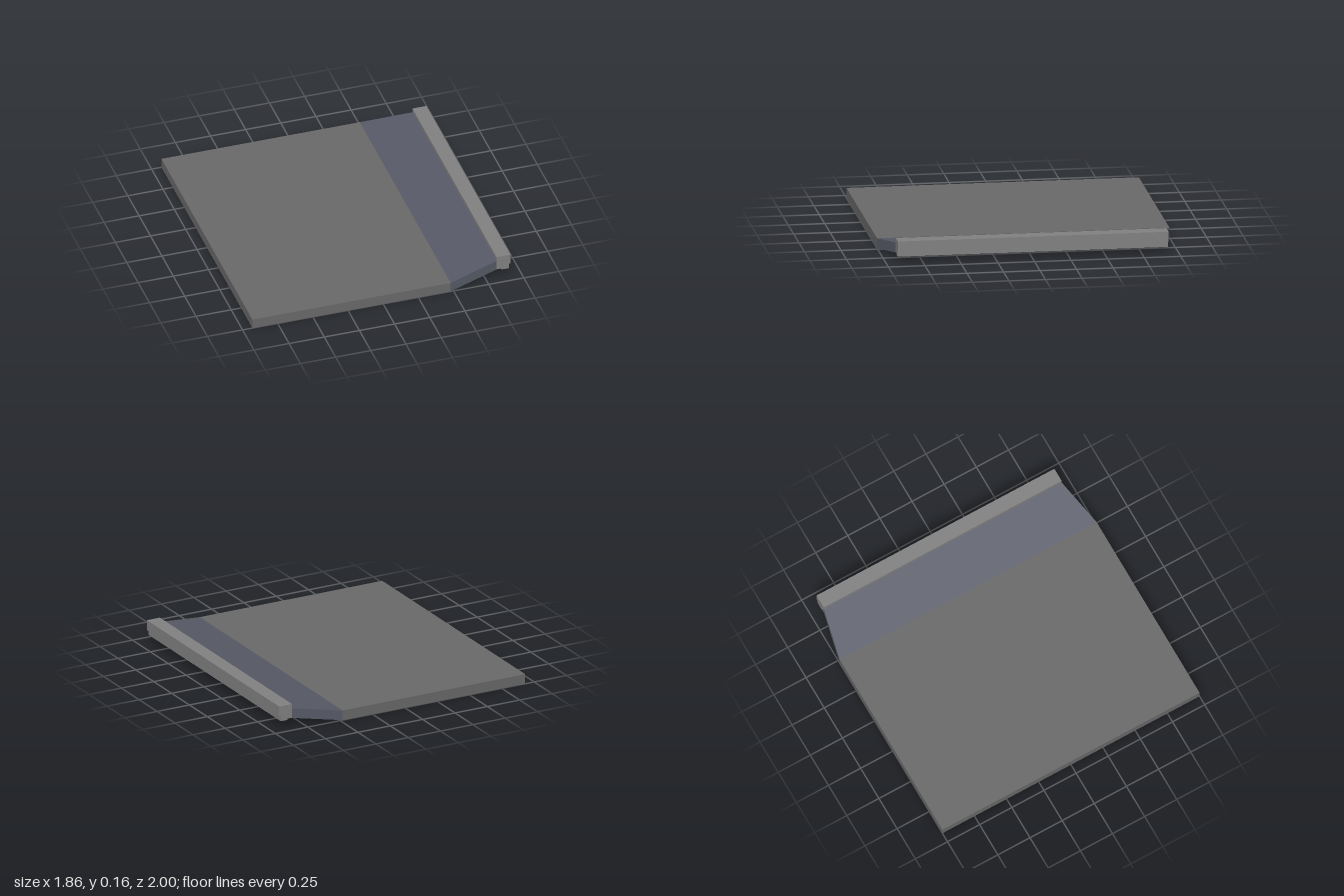
import * as THREE from 'three';

const paint = (color) => new THREE.MeshStandardMaterial({ color, flatShading: true });

function addPart(group, name, geometry, color) {
  const mesh = new THREE.Mesh(geometry, paint(color));
  mesh.name = name;
  group.add(mesh);
}

export function createModel() {
  const group = new THREE.Group();
  group.name = 'rampPlate';

  const left = -0.93, bend = 0.48, tip = 0.83, right = 0.93;
  const thick = 0.07, rise = 0.056, tipHalf = 0.925;

  // Flat main plate
  const plate = new THREE.BoxGeometry(bend - left, thick, 2);
  plate.translate((left + bend) / 2, thick / 2, 0);
  addPart(group, 'mainPlate', plate, 0x686868);

  // Sloping panel: a box whose outer end is raised and narrowed
  const slope = new THREE.BoxGeometry(tip - bend, thick, 2);
  slope.translate((bend + tip) / 2, thick / 2, 0);
  const p = slope.attributes.position;
  for (let i = 0; i < p.count; i++) {
    if (p.getX(i) > (bend + tip) / 2) {
      p.setY(i, p.getY(i) + rise);
      p.setZ(i, Math.sign(p.getZ(i)) * tipHalf);
    }
  }
  slope.computeVertexNormals();
  addPart(group, 'slopingPanel', slope, 0x565a66);

  // Edge bar with a stepped underside, extruded along z
  const profile = new THREE.Shape([
    [tip, 0.057], [0.865, 0.057], [0.865, 0.048], [0.917, 0.048],
    [0.917, 0.086], [right, 0.086], [right, 0.157], [tip, 0.157],
  ].map(([x, y]) => new THREE.Vector2(x, y)));
  const bar = new THREE.ExtrudeGeometry(profile, { depth: 2 * tipHalf, bevelEnabled: false });
  bar.translate(0, 0, -tipHalf);
  addPart(group, 'edgeBar', bar, 0x808080);

  return group;
}
